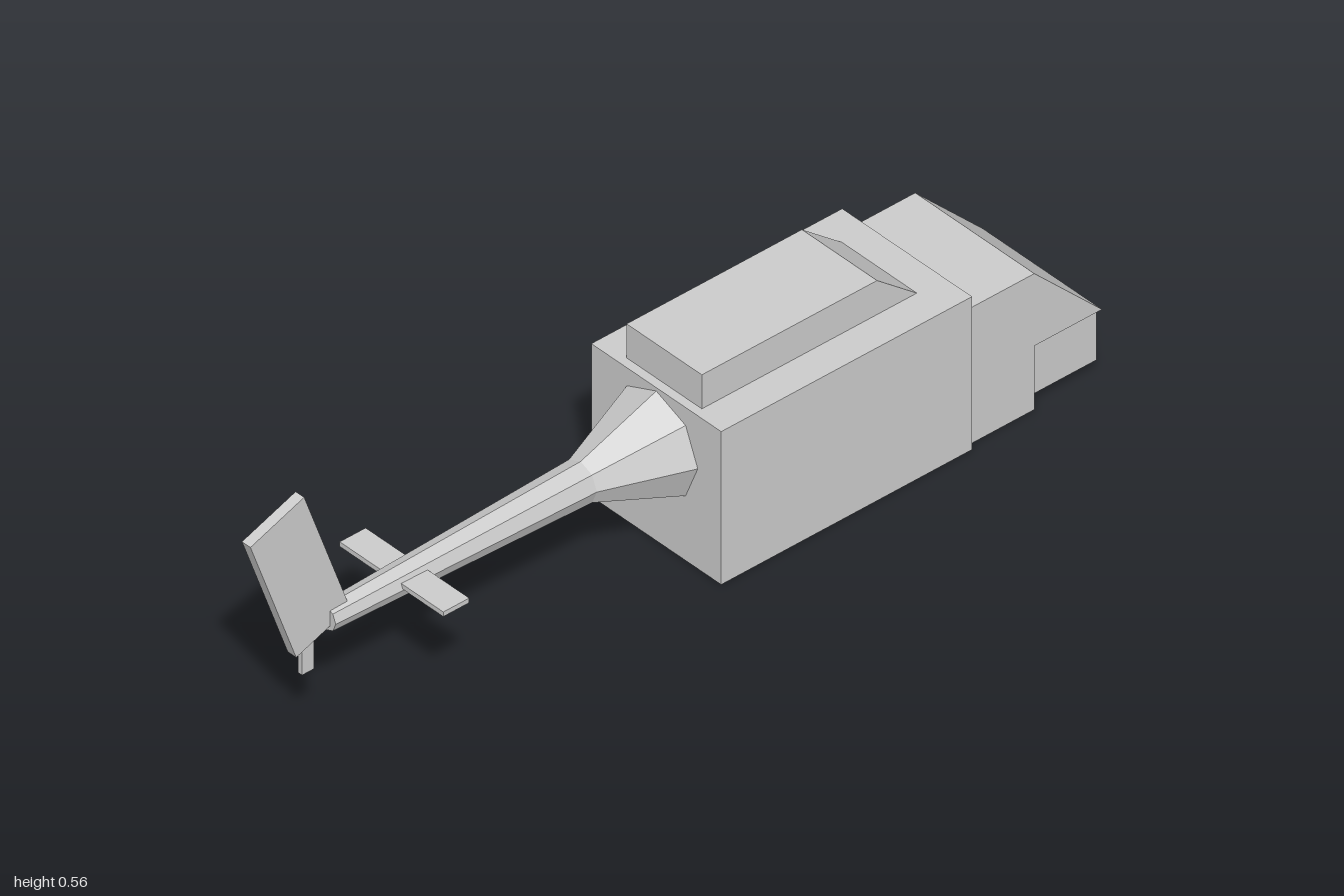
import * as THREE from 'three';

export function createModel() {
  const model = new THREE.Group();
  model.name = 'helicopter';
  const grey = new THREE.MeshStandardMaterial({ color: 0xcccccc });
  grey.name = 'plain grey';

  const add = (name, geometry, parent = model) => {
    const mesh = new THREE.Mesh(geometry.index ? geometry.toNonIndexed() : geometry, grey);
    mesh.geometry.computeVertexNormals(); // flat faces
    mesh.name = name;
    parent.add(mesh);
    return mesh;
  };

  // Box given by its limits on each axis
  const box = (name, [x0, x1], [y0, y1], [z0, z1], parent) => add(name,
    new THREE.BoxGeometry(x1 - x0, y1 - y0, z1 - z0)
      .translate((x0 + x1) / 2, (y0 + y1) / 2, (z0 + z1) / 2), parent);

  // Side outline of [z, y] points, extruded across x from x0 to x1
  const outline = (points) => points.map(([z, y]) => new THREE.Vector2(-z, y));
  const slab = (name, points, x0, x1, hole, parent) => {
    const shape = new THREE.Shape(outline(points));
    if (hole) shape.holes.push(new THREE.Path(outline(hole)));
    const geometry = new THREE.ExtrudeGeometry(shape, { depth: x1 - x0, bevelEnabled: false });
    return add(name, geometry.rotateY(Math.PI / 2).translate(x0, 0, 0), parent);
  };
  const rect = (z0, z1, y0, y1) => [[z0, y0], [z1, y0], [z1, y1], [z0, y1]];

  // Hollow cabin, open to the cockpit, with a doorway in one side
  const cabin = new THREE.Group();
  cabin.name = 'cabin';
  model.add(cabin);
  const w = 0.183, t = 0.018, front = -0.66, back = -0.03;
  box('cabinFloor', [-w, w], [0, t], [front, back], cabin);
  box('cabinRoof', [-w, w], [0.36 - t, 0.36], [front, back], cabin);
  box('cabinRearWall', [-w + t, w - t], [t, 0.36 - t], [-0.13, back], cabin);
  box('cabinPlainWall', [w - t, w], [t, 0.36 - t], [front, back], cabin);
  slab('cabinDoorWall', rect(front, back, t, 0.36 - t), -w, -w + t,
    rect(-0.64, -0.275, 0.035, 0.29), cabin);

  // Cockpit with sloping windscreen, overhanging a narrower nose
  slab('cockpit', [[front, 0], [front, 0.32], [-0.83, 0.32], [-1, 0.15], [-0.83, 0.15], [-0.83, 0]],
    -0.168, 0.168);
  box('nose', [-0.155, 0.155], [0.025, 0.15], [-0.997, -0.83]);

  // Engine housing on the roof
  slab('engineHousing', [[-0.05, 0.36], [-0.05, 0.44], [-0.49, 0.44], [-0.59, 0.36]], -0.106, 0.106);

  // Eight-sided tail boom: a steep root cone, then a long slender taper
  const boom = (name, z0, r0, z1, r1, y0, y1) => {
    const geometry = new THREE.CylinderGeometry(r1, r0, z1 - z0, 8).rotateX(Math.PI / 2);
    geometry.translate(0, 0, (z0 + z1) / 2);
    const p = geometry.attributes.position;
    for (let i = 0; i < p.count; i++) {
      p.setY(i, p.getY(i) + THREE.MathUtils.mapLinear(p.getZ(i), z0, z1, y0, y1));
    }
    add(name, geometry);
  };
  boom('tailBoomRoot', back, 0.117, 0.16, 0.046, 0.235, 0.236);
  boom('tailBoom', 0.16, 0.046, 0.8, 0.028, 0.236, 0.237);

  // Tail surfaces
  box('stabilizer', [-0.146, 0.146], [0.239, 0.25], [0.57, 0.635]);
  slab('tailFin', [[1, 0.51], [0.865, 0.56], [0.75, 0.243], [0.885, 0.193]], -0.012, 0.012);
  box('tailSkid', [-0.006, 0.006], [0.138, 0.22], [0.835, 0.865]);

  return model;
}
